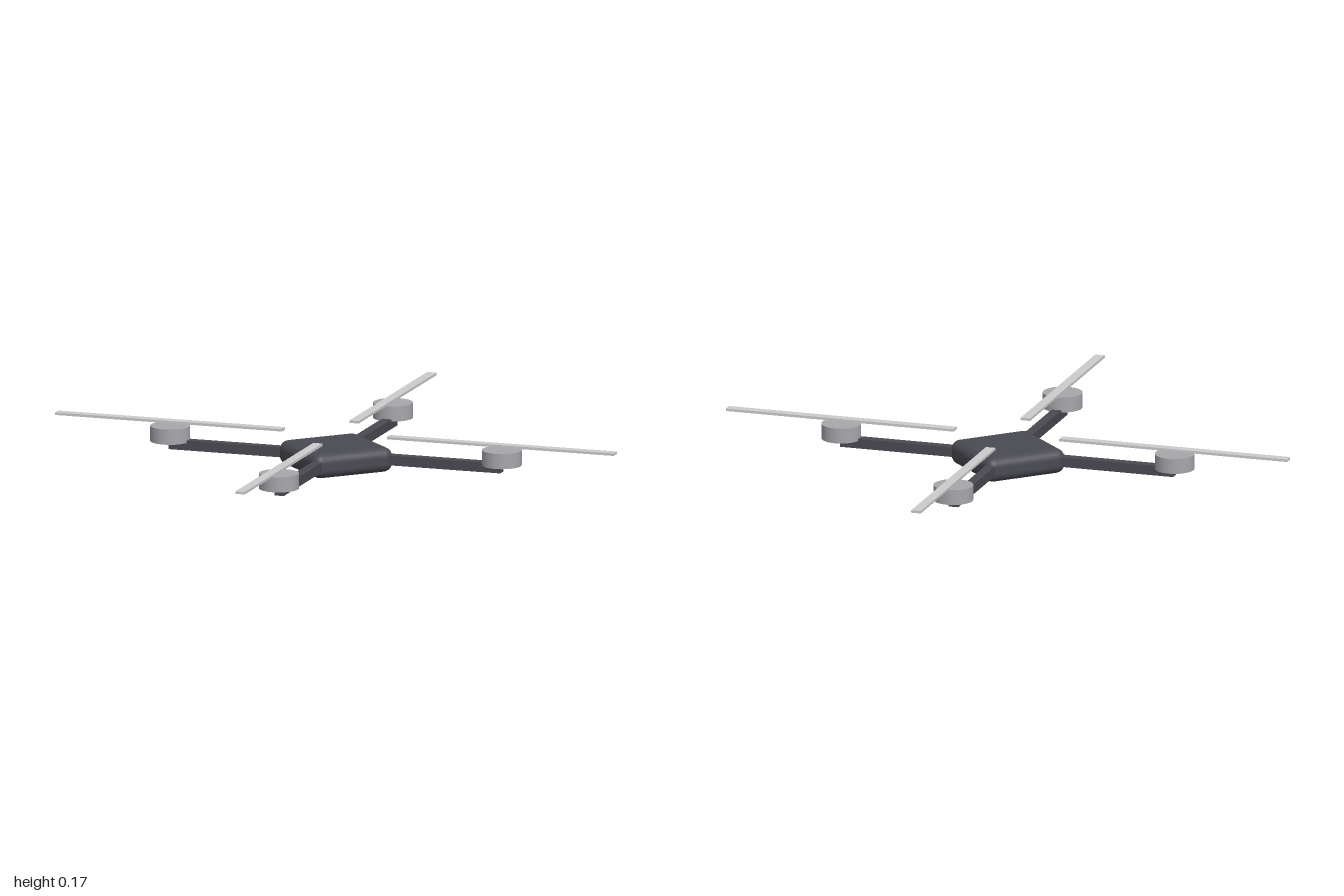
import * as THREE from 'three';
import { RoundedBoxGeometry } from 'three/addons/geometries/RoundedBoxGeometry.js';

const material = (color) => new THREE.MeshStandardMaterial({ color });

function part(name, geometry, mat, x, y) {
  const mesh = new THREE.Mesh(geometry, mat);
  mesh.name = name;
  mesh.position.set(x, y, 0);
  return mesh;
}

export function createModel() {
  const model = new THREE.Group();
  model.name = 'quadcopter';

  const dark = material(0x4a4a52);
  const metal = material(0xa6a6ac);
  const pale = material(0xcccccf);

  // Rounded central body
  model.add(part('body', new RoundedBoxGeometry(0.418, 0.118, 0.418, 5, 0.045), dark, 0, 0.059));

  // One rotor arm, laid along +x and repeated on the four diagonals
  const reach = 0.826;
  const armStart = 0.2;
  const armGeometry = new THREE.BoxGeometry(reach - armStart, 0.047, 0.047);
  const motorGeometry = new THREE.CylinderGeometry(0.094, 0.094, 0.073, 32);
  const bladeGeometry = new THREE.BoxGeometry(1.13, 0.012, 0.047);

  for (let i = 0; i < 4; i++) {
    const rotor = new THREE.Group();
    rotor.name = ['backLeft', 'backRight', 'frontRight', 'frontLeft'][i] + 'Rotor';
    rotor.add(
      part('arm', armGeometry, dark, (reach + armStart) / 2, 0.061),
      part('motor', motorGeometry, metal, reach, 0.11),
      part('propeller', bladeGeometry, pale, reach, 0.168),
    );
    rotor.rotation.y = Math.PI / 4 + (i * Math.PI) / 2;
    model.add(rotor);
  }
  return model;
}
